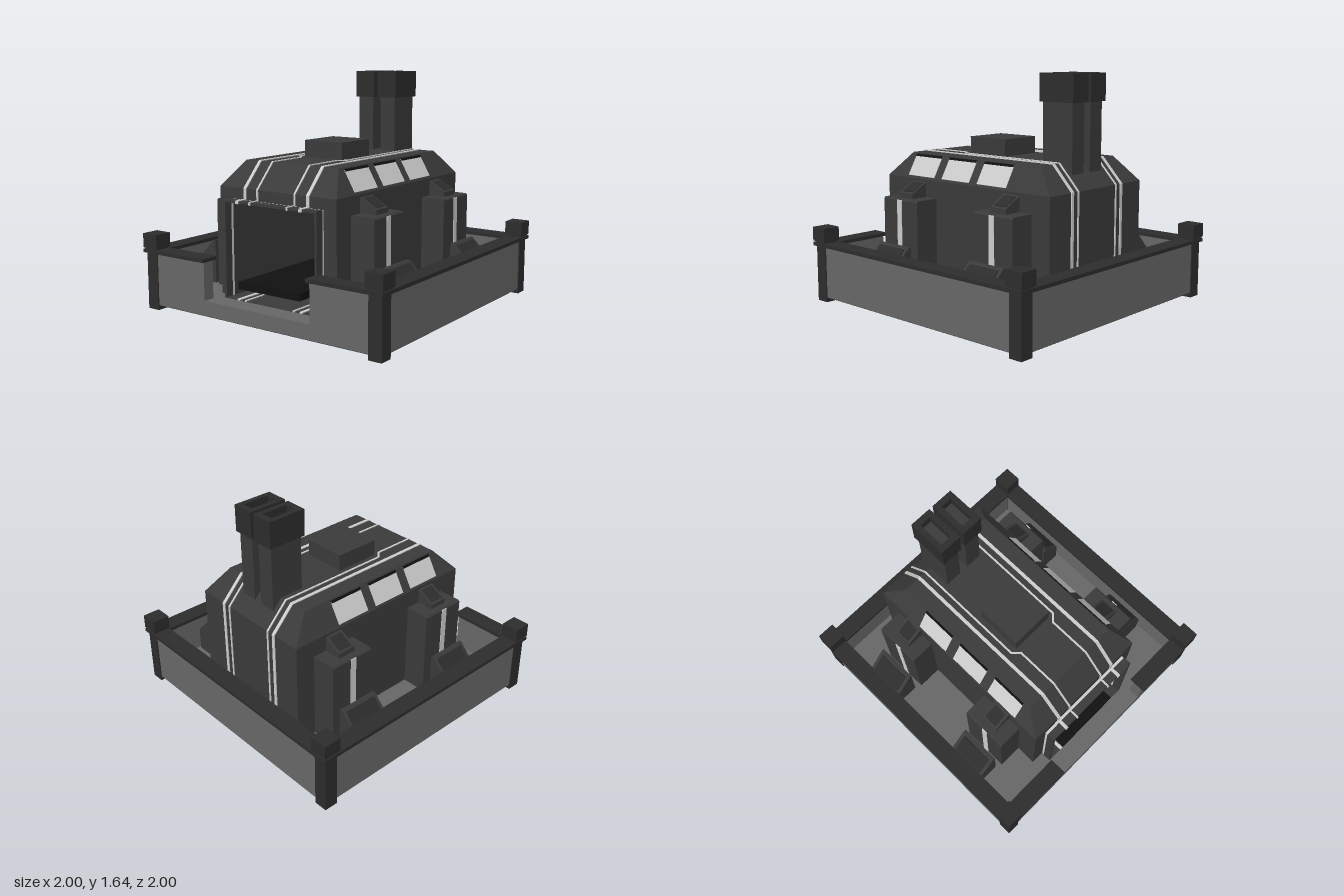
import * as THREE from 'three';

const mat = (color) => new THREE.MeshStandardMaterial({ color, flatShading: true });
const WALL = mat(0x666666), DARK = mat(0x3a3a3a), TRIM = mat(0x2c2c2c), BLACK = mat(0x111111), LIGHT = mat(0xcccccc);

export function createModel() {
  const model = new THREE.Group();

  const add = (name, geometry, material) => {
    const mesh = new THREE.Mesh(geometry, material);
    mesh.name = name;
    model.add(mesh);
    return mesh;
  };
  // Box given by its minimum and maximum on each axis
  const box = (name, material, x0, x1, y0, y1, z0, z1) => {
    const mesh = add(name, new THREE.BoxGeometry(Math.abs(x1 - x0), y1 - y0, z1 - z0), material);
    mesh.position.set((x0 + x1) / 2, (y0 + y1) / 2, (z0 + z1) / 2);
    return mesh;
  };
  // Flat bar between two points; "up" is the outward side
  const bar = (name, material, a, b, width, thickness, up) => {
    const start = new THREE.Vector3(...a), end = new THREE.Vector3(...b);
    const mesh = add(name, new THREE.BoxGeometry(width, thickness, start.distanceTo(end) + 0.004), material);
    mesh.up.set(...up);
    mesh.position.copy(start).add(end).multiplyScalar(0.5);
    mesh.lookAt(end);
    return mesh;
  };
  // Upside-down U (front outline) extruded along z
  const arch = (name, material, outer, top, inner, innerTop, z0, z1) => {
    const shape = new THREE.Shape([
      [-outer, 0.13], [-inner, 0.13], [-inner, innerTop], [inner, innerTop],
      [inner, 0.13], [outer, 0.13], [outer, top], [-outer, top],
    ].map((p) => new THREE.Vector2(...p)));
    const geometry = new THREE.ExtrudeGeometry(shape, { depth: z1 - z0, bevelEnabled: false });
    add(name, geometry.translate(0, 0, z0), material);
  };
  // x-y outline extruded along z, mirrored for s = -1
  const block = (name, material, s, points, z0, z1) => {
    const shape = new THREE.Shape(points.map(([x, y]) => new THREE.Vector2(s * x, y)));
    const geometry = new THREE.ExtrudeGeometry(shape, { depth: z1 - z0, bevelEnabled: false });
    add(name, geometry.translate(0, 0, z0), material);
  };

  // Base slab, perimeter walls and their rims
  box('baseSlab', WALL, -0.975, 0.975, 0.035, 0.138, -0.975, 0.975);
  box('undersidePlate', DARK, -0.97, 0.97, 0.03, 0.04, -0.97, 0.97);
  box('backWall', WALL, -0.97, 0.97, 0.13, 0.41, -0.975, -0.89);
  box('backRim', TRIM, -1, 1, 0.405, 0.43, -1, -0.87);
  for (const s of [-1, 1]) {
    box('sideWall', WALL, s * 0.89, s * 0.975, 0.13, 0.41, -0.97, 0.97);
    box('sideRim', TRIM, s * 0.87, s * 1, 0.405, 0.43, -1, 1);
    box('frontWall', WALL, s * 0.445, s * 0.97, 0.13, 0.41, 0.89, 0.975);
    box('frontRim', TRIM, s * 0.43, s * 1, 0.405, 0.43, 0.87, 1);
    for (const t of [-1, 1]) {
      const post = (name, r0, r1, y0, y1) => {
        const mesh = box(name, TRIM, s * r0, s * r1, y0, y1, r0, r1);
        mesh.position.z *= t;
      };
      post('cornerPost', 0.885, 0.982, 0, 0.41);
      post('capNeck', 0.88, 0.99, 0.42, 0.445);
      post('postCap', 0.87, 1, 0.44, 0.54);
    }
  }

  // Hollow hall with an open garage front
  arch('hallBody', DARK, 0.49, 0.89, 0.375, 0.8, -0.74, 0.75);
  box('hallBackWall', DARK, -0.49, 0.49, 0.13, 0.89, -0.78, -0.74);
  box('garageFloor', DARK, -0.376, 0.376, 0.13, 0.142, -0.74, 0.83);
  arch('doorTrim', LIGHT, 0.389, 0.813, 0.375, 0.8, 0.75, 0.77);
  arch('doorFrame', DARK, 0.393, 0.816, 0.375, 0.8, 0.77, 0.83);
  box('garagePlatform', BLACK, -0.26, 0.26, 0.22, 0.27, -0.7, 0.84);

  // Roof: a box with its top edges drawn in
  const roof = new THREE.BoxGeometry(0.98, 0.17, 1.53);
  const pos = roof.attributes.position;
  for (let i = 0; i < pos.count; i++) {
    const top = pos.getY(i) > 0, front = pos.getZ(i) > 0;
    pos.setXYZ(i, Math.sign(pos.getX(i)) * (top ? 0.39 : 0.49), top ? 1.06 : 0.89,
      front ? (top ? 0.59 : 0.75) : (top ? -0.62 : -0.78));
  }
  roof.computeVertexNormals();
  add('roof', roof, DARK);
  box('roofHatch', DARK, -0.16, 0.16, 1.05, 1.18, -0.1, 0.235);

  // Skylights on both roof slopes
  for (const s of [-1, 1]) {
    for (const z of [0.41, 0.07, -0.27]) {
      const up = [s * 0.17, 0.1, 0];
      bar('skylight', LIGHT, [s * 0.48, 0.907, z], [s * 0.4, 1.043, z], 0.265, 0.008, up);
      bar('skylightHeader', BLACK, [s * 0.4025, 1.035, z], [s * 0.396, 1.048, z], 0.265, 0.014, up);
    }
  }

  // Light stripes running over the hall from back to front
  const stripe = (points, width) => {
    for (const s of [-1, 1]) {
      for (let i = 0; i < points.length - 1; i++) {
        const [a, b] = [points[i], points[i + 1]].map(([x, y, z]) => [s * x, y, z]);
        const vertical = Math.abs(a[2] - b[2]) < 0.001;
        bar('stripe', LIGHT, a, b, width, 0.012, vertical ? [0, 0, 1] : [0, 1, 0]);
      }
    }
  };
  const backToRoof = (x) => [[x, 0.14, -0.78], [x, 0.89, -0.78], [x, 1.06, -0.62]];
  const roofToDoor = (x) => [[x, 1.06, 0.59], [x, 0.89, 0.75], [x, 0.815, 0.75], [x, 0.815, 0.832], [x, 0.8, 0.832]];
  stripe([...backToRoof(0.265), ...roofToDoor(0.265)], 0.024);
  stripe([...backToRoof(0.205), [0.205, 1.06, 0.235], [0.157, 1.06, 0.28], ...roofToDoor(0.157)], 0.013);
  for (const [x, w] of [[0.265, 0.024], [0.205, 0.013]]) {
    stripe([[x, 0.8, -0.738], [x, 0.142, -0.738], [x, 0.142, 0.83]], w);
  }

  // Side towers with sloped caps, and wedge consoles by the wall
  for (const s of [-1, 1]) {
    for (const z of [0.423, -0.46]) {
      block('sideTower', DARK, s, [[0.48, 0.13], [0.67, 0.13], [0.67, 0.755], [0.66, 0.765], [0.48, 0.765]], z - 0.172, z + 0.172);
      box('towerStripe', LIGHT, s * 0.66, s * 0.674, 0.14, 0.758, z - 0.014, z + 0.032);
      block('towerCap', DARK, s, [[0.48, 0.76], [0.617, 0.76], [0.617, 0.8], [0.49, 0.87], [0.48, 0.87]], z - 0.068, z + 0.07);
      bar('capPanel', TRIM, [s * 0.6, 0.81, z], [s * 0.505, 0.862, z], 0.1, 0.008, [s * 0.07, 0.12, 0]);
      block('wedgeConsole', DARK, s, [[0.715, 0.13], [0.868, 0.13], [0.868, 0.31], [0.735, 0.45], [0.715, 0.45]], z - 0.152, z + 0.152);
      bar('consolePanel', TRIM, [s * 0.85, 0.329, z], [s * 0.75, 0.434, z], 0.25, 0.014, [s * 0.14, 0.13, 0]);
    }
  }

  // Twin chimneys with hollow heads
  for (const s of [-1, 1]) {
    box('chimney', DARK, s * 0.033, s * 0.157, 0.93, 1.47, -0.69, -0.44);
    const rect = (x, z) => [[-x, -z], [x, -z], [x, z], [-x, z]].map((p) => new THREE.Vector2(...p));
    const head = new THREE.Shape(rect(0.08, 0.143));
    head.holes.push(new THREE.Path(rect(0.042, 0.098)));
    const geometry = new THREE.ExtrudeGeometry(head, { depth: 0.19, bevelEnabled: false });
    geometry.rotateX(-Math.PI / 2);
    add('chimneyHead', geometry, TRIM).position.set(s * 0.095, 1.455, -0.565);
    box('chimneyFlue', DARK, s * 0.05, s * 0.14, 1.46, 1.58, -0.665, -0.465);
  }
  return model;
}
